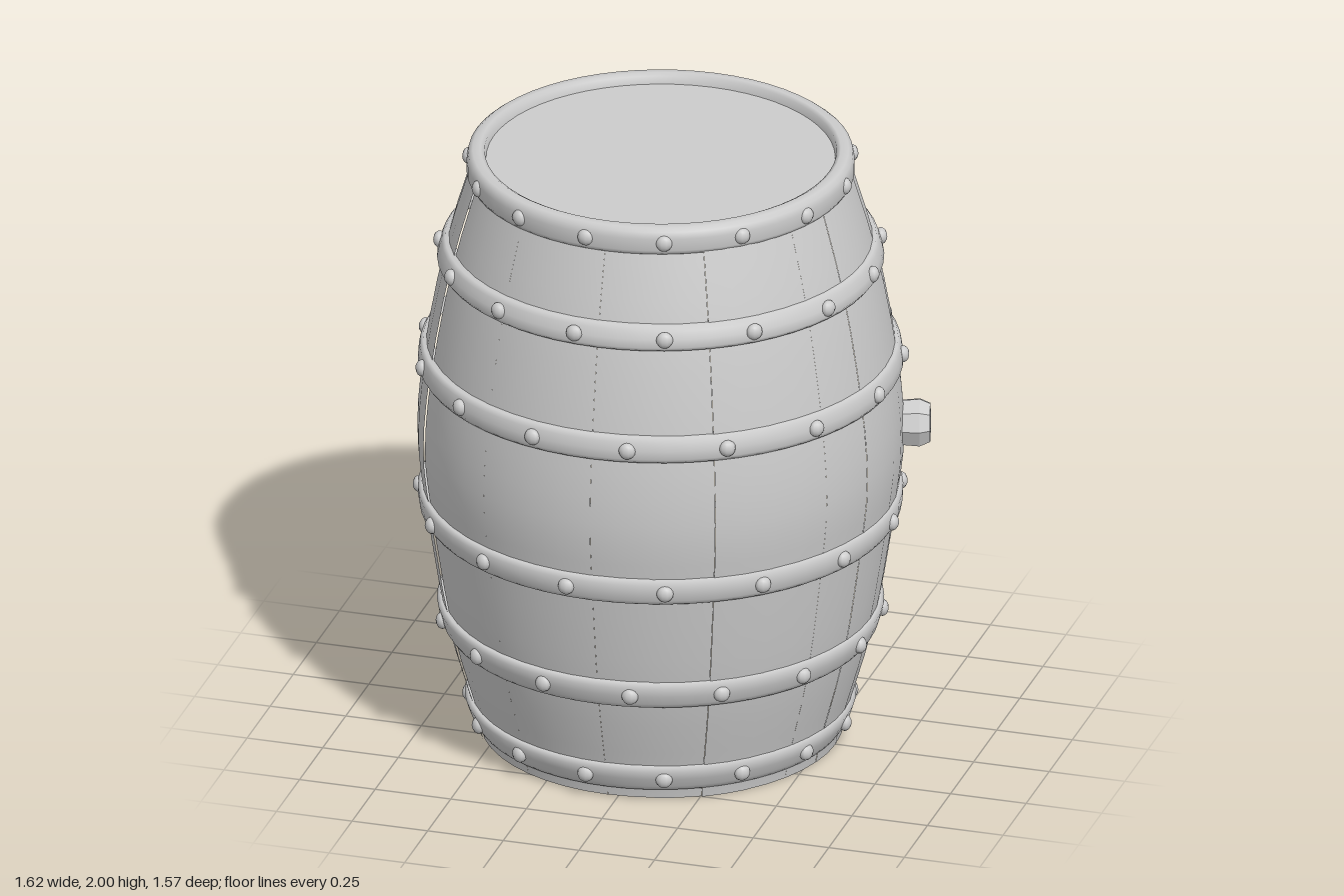
import * as THREE from 'three';

const grey = new THREE.MeshStandardMaterial({ color: 0xcccccc });
grey.name = 'plain grey';

const v2 = (pairs) => pairs.map(([r, y]) => new THREE.Vector2(r, y));

// Bulging side of the barrel: radius, height
const SIDE = new THREE.SplineCurve(v2([
  [0.575, 0], [0.595, 0.09], [0.68, 0.4], [0.745, 0.8], [0.768, 1.03],
  [0.745, 1.3], [0.68, 1.65], [0.593, 1.95],
]));
const HOOP_SEGMENTS = 60;

function add(parent, geometry, name) {
  const mesh = new THREE.Mesh(geometry, grey);
  mesh.name = name;
  parent.add(mesh);
  return mesh;
}

// Small seeded generator for the hand-made unevenness
function seeded(seed) {
  return () => (seed = (seed * 16807) % 2147483647) / 2147483647;
}

function makeStaves() {
  const group = new THREE.Group();
  group.name = 'staves';
  const rand = seeded(41);
  const count = 24;
  const step = (Math.PI * 2) / count;
  for (let i = 0; i < count; i++) {
    const offset = (rand() - 0.5) * 0.008;
    const profile = SIDE.getPoints(21).map((p) => new THREE.Vector2(p.x + offset, p.y));
    add(group, new THREE.LatheGeometry(profile, 2, i * step, step), 'stave');
  }
  return group;
}

// Soft band wrapped round the staves, with a ring of rivets
function makeHoop({ y, r, h, phase }) {
  const group = new THREE.Group();
  group.name = 'hoop';
  const a = h / 2;
  const lean = (1.03 - y) * 0.012;
  const profile = v2([
    [r - 0.05, y - a], [r - 0.012 - lean, y - a], [r - 0.002 - lean, y - a * 0.65],
    [r, y], [r - 0.002 + lean, y + a * 0.65], [r - 0.012 + lean, y + a], [r - 0.05, y + a],
  ]);
  add(group, new THREE.LatheGeometry(profile, HOOP_SEGMENTS), 'band');
  addRivets(group, y, r, phase);
  return group;
}

function addRivets(group, y, r, phase) {
  const dome = new THREE.SphereGeometry(0.027, 10, 8);
  const count = 15;
  for (let i = 0; i < count; i++) {
    const t = THREE.MathUtils.degToRad(phase + (i * 360) / count);
    const rivet = add(group, dome, 'rivet');
    rivet.position.set(Math.sin(t) * r, y, Math.cos(t) * r);
    rivet.rotation.y = t;
    rivet.scale.z = 0.75;
  }
}

// Top hoop rolls over the stave ends and down to the lid
function makeRim() {
  const group = new THREE.Group();
  group.name = 'topRim';
  const profile = v2([
    [0.57, 1.91], [0.605, 1.91], [0.614, 1.925], [0.614, 1.965], [0.609, 1.987],
    [0.595, 1.998], [0.57, 2], [0.557, 1.993], [0.552, 1.965],
  ]);
  add(group, new THREE.LatheGeometry(profile, HOOP_SEGMENTS), 'rimBand');
  addRivets(group, 1.95, 0.61, -6);
  return group;
}

// Stubby eight-sided bung on the left side
function makeBung() {
  const group = new THREE.Group();
  group.name = 'bung';
  const profile = v2([[0.074, 0], [0.081, 0.085], [0.066, 0.118], [0, 0.121]]);
  const lathe = new THREE.LatheGeometry(profile, 8).toNonIndexed();
  lathe.computeVertexNormals();
  const plug = add(group, lathe, 'plug');
  plug.rotation.z = -Math.PI / 2;
  plug.position.x = 0.735;
  group.position.y = 1.05;
  group.rotation.y = THREE.MathUtils.degToRad(16);
  return group;
}

export function createModel() {
  const model = new THREE.Group();
  model.name = 'barrel';
  const body = new THREE.Group();
  body.name = 'barrelBody';
  body.position.x = -0.035; // the bung shifts the overall centre
  model.add(body);

  body.add(makeStaves());
  const hoops = [
    { y: 0.08, r: 0.61, h: 0.09, phase: -6 },
    { y: 0.41, r: 0.702, h: 0.09, phase: -15 },
    { y: 0.8, r: 0.767, h: 0.085, phase: -6 },
    { y: 1.295, r: 0.767, h: 0.085, phase: -15 },
    { y: 1.655, r: 0.702, h: 0.08, phase: -6 },
  ];
  hoops.forEach((hoop) => body.add(makeHoop(hoop)));
  body.add(makeRim());
  body.add(makeBung());

  // Sunken lid and flat base
  const lid = add(body, new THREE.CircleGeometry(0.556, HOOP_SEGMENTS), 'lid');
  lid.rotation.x = -Math.PI / 2;
  lid.position.y = 1.967;
  const base = add(body, new THREE.CircleGeometry(0.578, HOOP_SEGMENTS), 'base');
  base.rotation.x = Math.PI / 2;

  return model;
}
